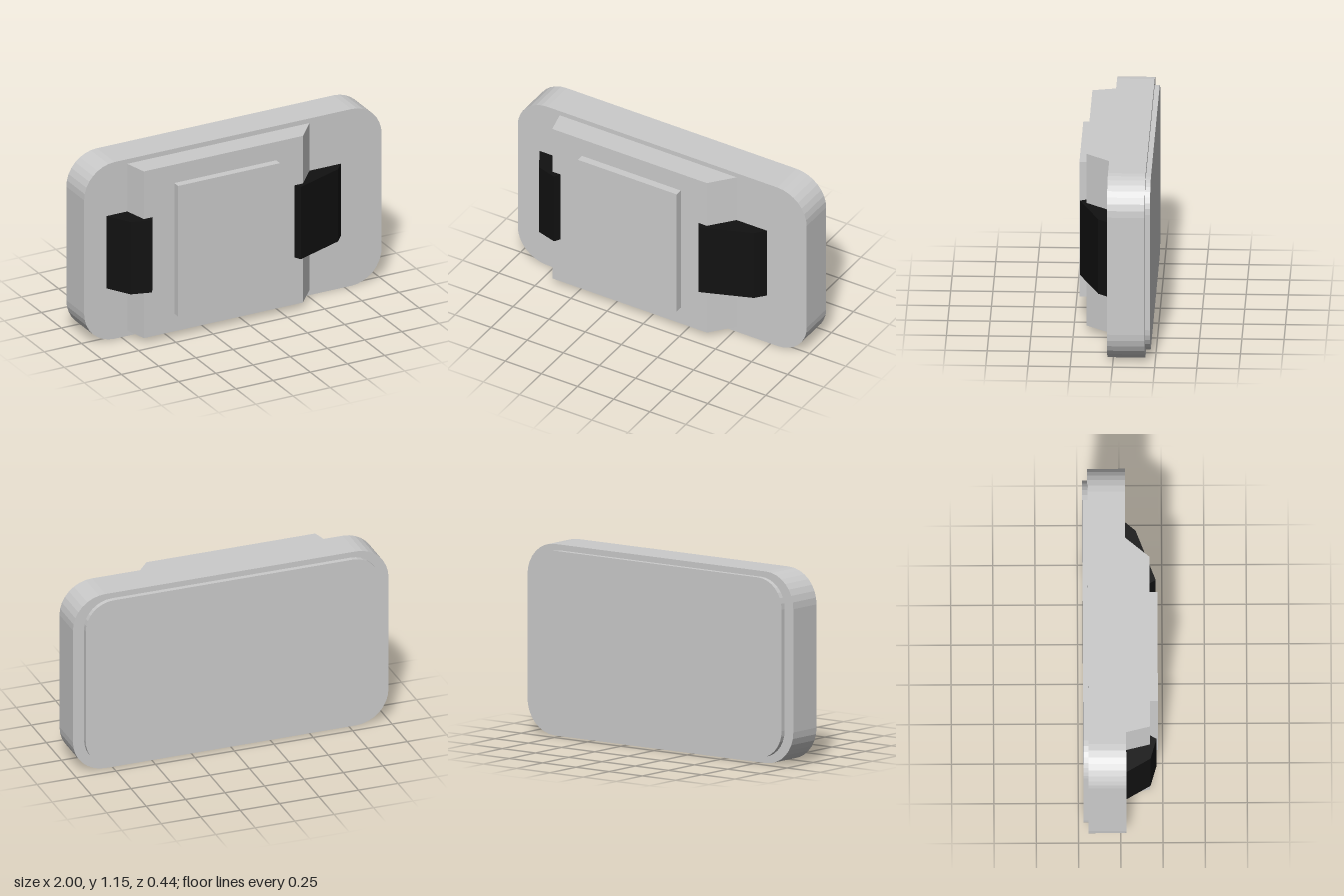
import * as THREE from 'three';

const grey = new THREE.MeshStandardMaterial({ color: 0xcccccc, flatShading: true });
const black = new THREE.MeshStandardMaterial({ color: 0x111111, flatShading: true });

// Upright slab with rounded corners, four facets per corner
function roundedSlab(name, x0, x1, y0, y1, r, z0, z1) {
  const s = new THREE.Shape();
  s.absarc(x1 - r, y1 - r, r, 0, Math.PI / 2);
  s.absarc(x0 + r, y1 - r, r, Math.PI / 2, Math.PI);
  s.absarc(x0 + r, y0 + r, r, Math.PI, Math.PI * 1.5);
  s.absarc(x1 - r, y0 + r, r, Math.PI * 1.5, Math.PI * 2);
  const g = new THREE.ExtrudeGeometry(s, { depth: z1 - z0, bevelEnabled: false, curveSegments: 4 });
  g.translate(0, 0, z0);
  const mesh = new THREE.Mesh(g, grey);
  mesh.name = name;
  return mesh;
}

// Prism whose (x, z) outline is extended upward from y0 to y1
function uprightPrism(name, outline, y0, y1, material) {
  const s = new THREE.Shape(outline.map(([x, z]) => new THREE.Vector2(x, -z)));
  const g = new THREE.ExtrudeGeometry(s, { depth: y1 - y0, bevelEnabled: false });
  g.rotateX(-Math.PI / 2);
  g.translate(0, y0, 0);
  const mesh = new THREE.Mesh(g, material);
  mesh.name = name;
  return mesh;
}

export function createModel() {
  const model = new THREE.Group();
  model.name = 'mountedPanel';

  // Main casing and the slightly smaller raised panel behind it
  model.add(roundedSlab('casing', -1, 1, 0, 1.15, 0.205, -0.19, 0.033));
  model.add(roundedSlab('backPanel', -0.935, 0.93, 0.035, 1.115, 0.175, -0.22, -0.19));

  // Front block with sloping ends
  model.add(uprightPrism('frontBlock',
    [[-0.71, 0.033], [-0.675, 0.175], [0.395, 0.175], [0.515, 0.033]], 0.035, 1.12, grey));

  // Raised pad on the block
  const pad = new THREE.Mesh(new THREE.BoxGeometry(0.685, 0.85, 0.047), grey);
  pad.name = 'frontPad';
  pad.position.set(-0.1275, 0.575, 0.1985);
  model.add(pad);

  // Dark clips hooking over the ends of the block
  model.add(uprightPrism('rightClip',
    [[-0.85, 0.033], [-0.765, 0.177], [-0.64, 0.213], [-0.615, 0.17], [-0.67, 0.165], [-0.705, 0.033]],
    0.34, 0.81, black));
  model.add(uprightPrism('leftClip',
    [[0.725, 0.033], [0.672, 0.095], [0.36, 0.213], [0.335, 0.17], [0.39, 0.165], [0.505, 0.033]],
    0.34, 0.81, black));

  return model;
}
